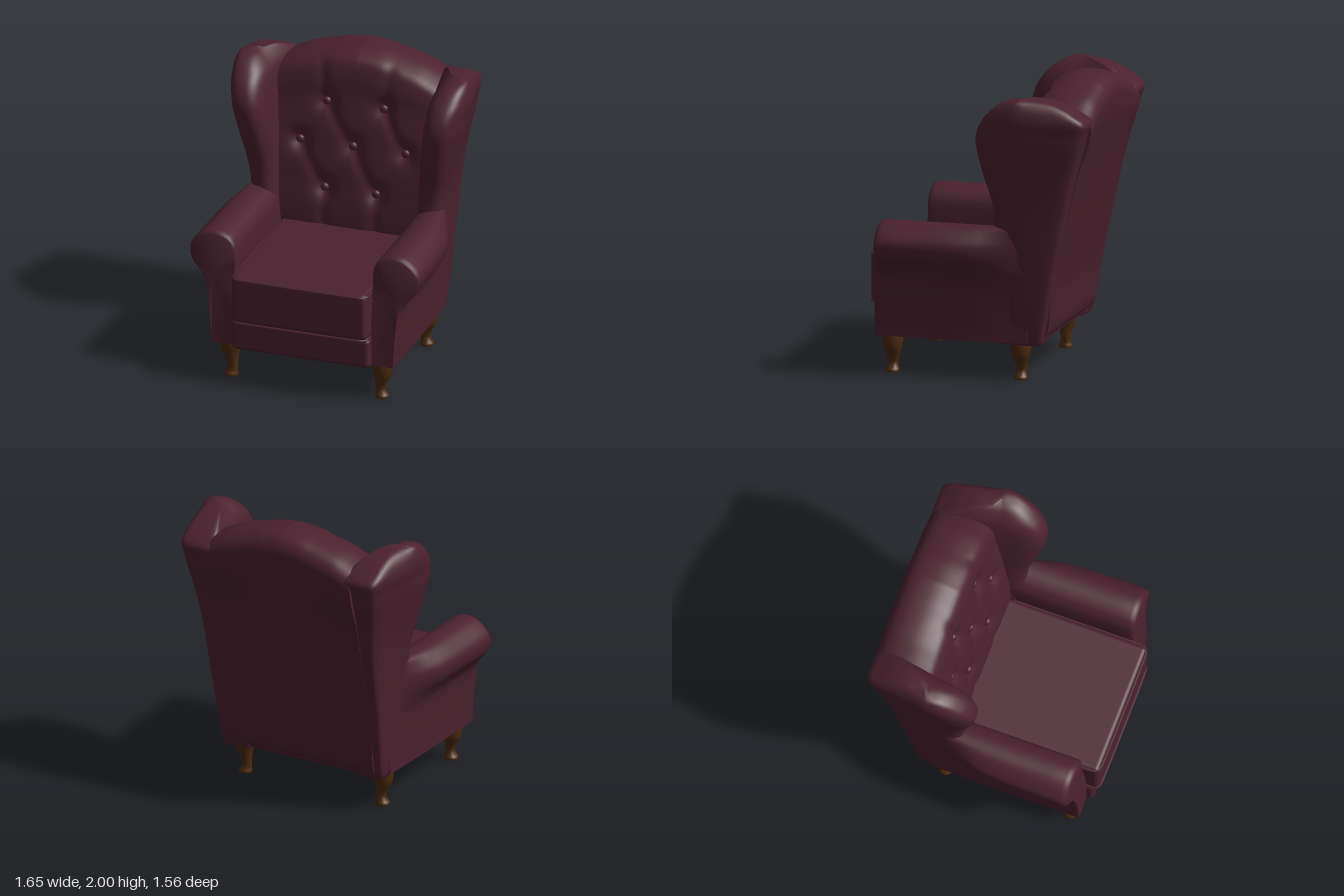
import * as THREE from 'three';
import { toCreasedNormals } from 'three/addons/utils/BufferGeometryUtils.js';
import { RoundedBoxGeometry } from 'three/addons/geometries/RoundedBoxGeometry.js';

const V = (x, y, z) => new THREE.Vector3(x, y, z);
const lerp = THREE.MathUtils.lerp;
const smooth = THREE.MathUtils.smoothstep;

// Skin closed rings of points, cap both ends, and make the faces point outwards.
function loft(rings, crease = 0.9) {
  const n = rings[0].length;
  const centre = (r) => r.reduce((s, p) => s.add(p), V(0, 0, 0)).divideScalar(n);
  const pts = [...rings.flat(), centre(rings[0]), centre(rings[rings.length - 1])];
  const first = pts.length - 2, last = pts.length - 1, base = (rings.length - 1) * n;
  const idx = [];
  for (let i = 0; i < n; i++) {
    const j = (i + 1) % n;
    for (let k = 0; k < rings.length - 1; k++) {
      const a = k * n + i, b = k * n + j;
      idx.push(a, b, a + n, b, b + n, a + n);
    }
    idx.push(first, j, i, last, base + i, base + j);
  }
  let volume = 0;
  for (let i = 0; i < idx.length; i += 3)
    volume += pts[idx[i]].dot(V(0, 0, 0).crossVectors(pts[idx[i + 1]], pts[idx[i + 2]]));
  if (volume < 0) idx.reverse();
  const g = new THREE.BufferGeometry().setFromPoints(pts);
  g.setIndex(idx);
  return toCreasedNormals(g, crease);
}

// Smoothly resample a table whose rows are equal-length lists of numbers.
function resample(rows, steps) {
  const out = [];
  const at = (i) => rows[Math.min(rows.length - 1, Math.max(0, i))];
  for (let i = 0; i < rows.length - 1; i++)
    for (let s = 0; s < steps; s++) {
      const t = s / steps;
      out.push(rows[i].map((p1, c) => {
        const p0 = at(i - 1)[c], p2 = at(i + 1)[c], p3 = at(i + 2)[c];
        return p1 + 0.5 * t * (p2 - p0 + t * (2 * p0 - 5 * p1 + 4 * p2 - p3 + t * (3 * (p1 - p2) + p3 - p0)));
      }));
    }
  out.push(rows[rows.length - 1]);
  return out;
}

// Button positions and the diagonal pleats joining them.
const buttons = [[-0.2, 1.63], [0.2, 1.63], [-0.37, 1.35], [0, 1.35], [0.37, 1.35], [-0.18, 1.05], [0.18, 1.05]];
const pleats = [[0, 2], [0, 3], [1, 3], [1, 4], [2, 5], [3, 5], [3, 6], [4, 6]].map(([a, b]) => [...buttons[a], ...buttons[b]]);
pleats.push([-0.2, 1.63, -0.24, 1.9], [0.2, 1.63, 0.24, 1.9], [-0.18, 1.05, -0.18, 0.8], [0.18, 1.05, 0.18, 0.8]);

function tuft(x, y) {
  let pit = 0, fold = 0;
  for (const [bx, by] of buttons)
    pit = Math.max(pit, Math.exp(-((x - bx) ** 2 + (y - by) ** 2) / 0.0045));
  for (const [ax, ay, bx, by] of pleats) {
    const dx = bx - ax, dy = by - ay;
    const t = THREE.MathUtils.clamp(((x - ax) * dx + (y - ay) * dy) / (dx * dx + dy * dy), 0, 1);
    const d2 = (x - ax - t * dx) ** 2 + (y - ay - t * dy) ** 2;
    fold = Math.max(fold, Math.exp(-d2 / 0.0018));
  }
  return 0.045 * pit + 0.012 * fold;
}

// Back: a side profile swept across x under a crowned top edge.
function backGeometry() {
  const side = [[0.3, -0.25], [0.8, -0.2], [1.1, -0.23], [1.4, -0.275], [1.7, -0.325], [1.85, -0.345],
    [1.94, -0.38], [1.985, -0.47], [2, -0.58], [1.975, -0.72], [1.9, -0.775], [1.78, -0.772],
    [1.4, -0.685], [1, -0.595], [0.6, -0.51], [0.28, -0.445]];
  const profile = new THREE.CatmullRomCurve3(side.map(([y, z]) => V(0, y, z)), true).getSpacedPoints(170).slice(0, -1);
  const crown = resample([[0, 2], [0.14, 1.985], [0.24, 1.96], [0.4, 1.915], [0.5, 1.87], [0.58, 1.83]], 6);
  const topY = (x) => {
    const i = Math.max(1, crown.findIndex((c) => c[0] >= x - 1e-6));
    const [a, b] = [crown[i - 1], crown[i]];
    return lerp(a[1], b[1], (x - a[0]) / (b[0] - a[0]));
  };
  const rings = [];
  for (let i = 0; i <= 84; i++) {
    const x = lerp(-0.57, 0.57, i / 84);
    const drop = 2 - topY(Math.abs(x));
    rings.push(profile.map((p) => {
      const y = p.y - drop * smooth(p.y, 1.3, 2);
      const front = smooth(p.z, -0.48, -0.38) * smooth(y, 0.7, 0.85);
      return V(x, y, p.z - front * tuft(x, y));
    }));
  }
  return loft(rings, 1.2);
}

// Wing: rounded plan sections stacked up y; rows are y, inner x, outer x, front z, rear z.
function wingGeometry(s) {
  const rows = [[0.25, 0.4, 0.6, -0.15, -0.435], [0.29, 0.4, 0.625, -0.1, -0.455], [0.7, 0.45, 0.655, -0.1, -0.53],
    [1.03, 0.48, 0.69, -0.125, -0.6], [1.2, 0.49, 0.715, -0.115, -0.635], [1.4, 0.51, 0.755, -0.06, -0.68],
    [1.6, 0.535, 0.8, -0.02, -0.735], [1.7, 0.55, 0.815, -0.03, -0.76], [1.78, 0.56, 0.828, -0.068, -0.775],
    [1.84, 0.58, 0.828, -0.12, -0.7], [1.89, 0.62, 0.818, -0.18, -0.61], [1.925, 0.665, 0.8, -0.25, -0.51],
    [1.942, 0.72, 0.76, -0.33, -0.4]];
  const pow = (v, e) => Math.sign(v) * Math.abs(v) ** e;
  return loft(resample(rows, 4).map(([y, xi, xo, zf, zb]) => {
    const ring = [];
    for (let i = 0; i < 48; i++) {
      const a = i / 48 * Math.PI * 2, c = Math.cos(a), d = Math.sin(a);
      const e = d > 0 ? 0.72 : 0.25;
      const u = pow(d, e);
      const toe = 0.075 * smooth(y, 0.5, 1.8) * Math.max(0, 0.3 - u) / 1.3;
      ring.push(V(s * ((xi + xo) / 2 + (xo - xi) / 2 * pow(c, e) - toe), y, (zf + zb) / 2 + (zf - zb) / 2 * u));
    }
    return ring;
  }), 1);
}

// Arm: a rolled outline swept along z, rounded in front and narrowing into the wing.
function armGeometry(s) {
  const outline = resample([[0.48, 0.26], [0.48, 0.6], [0.48, 0.9], [0.505, 0.985], [0.55, 1.025], [0.62, 1.046],
    [0.7, 1.033], [0.775, 0.975], [0.808, 0.91], [0.79, 0.82], [0.725, 0.74], [0.682, 0.66], [0.66, 0.5],
    [0.645, 0.35], [0.64, 0.26]], 4);
  const sections = [[-0.36, 1], [-0.25, 1], [-0.15, 1], [-0.05, 1], [0.05, 1], [0.2, 1], [0.35, 1], [0.5, 1],
    [0.61, 1], [0.635, 0.99], [0.65, 0.965], [0.657, 0.92]];
  return loft(sections.map(([z, k]) => outline.map(([x, y]) => {
    const blend = smooth(z, -0.4, 0.12);
    const limit = Math.min(x, lerp(0.63, 0.67, smooth(y, 0.4, 1)));
    const px = lerp(limit, x, blend) - 0.012 * smooth(0.6 - z, 0, 0.6) * smooth(x, 0.7, 0.8);
    const forward = 0.035 * smooth(z, 0.3, 0.65) * (1 - smooth(y, 0.5, 0.85));
    return V(s * (0.6 + (px - 0.6) * k), 0.75 + (y - 0.75) * (y < 0.4 ? 1 : k), z + forward);
  })), 0.8);
}

// Leg: curved knee, slim ankle and small foot; rows are y, outward shift, radius.
function legGeometry(s) {
  const rows = [[0, 0, 0.046], [0.015, 0, 0.047], [0.035, -0.005, 0.038], [0.065, -0.012, 0.033],
    [0.11, -0.005, 0.042], [0.16, 0.005, 0.058], [0.21, 0.002, 0.069], [0.25, 0, 0.07], [0.27, 0, 0.066]];
  return loft(resample(rows, 3).map(([y, shift, r]) => Array.from({ length: 24 }, (_, i) => {
    const a = i / 24 * Math.PI * 2;
    return V(s * shift + r * Math.cos(a), y, r * Math.sin(a));
  })));
}

// Piping cord: a tube round the edge of the seat cushion.
function pipingGeometry(hx, z0, z1, r) {
  const pts = [];
  for (const [sx, sz, a0] of [[1, 1, 0], [-1, 1, 1], [-1, -1, 2], [1, -1, 3]])
    for (let i = 0; i <= 5; i++) {
      const a = (a0 + i / 5) * Math.PI / 2;
      pts.push(V(sx * (hx - r) + r * Math.cos(a), 0, (sz > 0 ? z1 - r : z0 + r) + r * Math.sin(a)));
    }
  return new THREE.TubeGeometry(new THREE.CatmullRomCurve3(pts, true, 'centripetal'), 140, 0.01, 8, true);
}

export function createModel() {
  const chair = new THREE.Group();
  chair.name = 'wingbackArmchair';
  const fabric = new THREE.MeshStandardMaterial({ color: 0x4b222f });
  fabric.name = 'burgundyUpholstery';
  const wood = new THREE.MeshStandardMaterial({ color: 0x4a2a0e });
  wood.name = 'brownWood';
  const add = (name, geometry, material, x = 0, y = 0, z = 0) => {
    const m = new THREE.Mesh(geometry, material);
    m.name = name;
    m.position.set(x, y, z);
    chair.add(m);
    return m;
  };

  // Seat
  add('seatBase', new RoundedBoxGeometry(1.22, 0.25, 1.1, 3, 0.02), fabric, 0, 0.375, 0.115);
  add('frontRail', new RoundedBoxGeometry(0.97, 0.21, 0.45, 4, 0.03), fabric, 0, 0.35, 0.512);
  const cushion = new RoundedBoxGeometry(0.95, 0.33, 1.02, 10, 0.035);
  const p = cushion.attributes.position;
  for (let i = 0; i < p.count; i++)
    if (p.getY(i) > 0.16) p.setY(i, p.getY(i) + 0.015 * smooth(-p.getZ(i), -0.5, 0.4));
  add('seatCushion', cushion, fabric, 0, 0.62, 0.262);
  for (const y of [0.768, 0.458]) add('cushionPiping', pipingGeometry(0.472, -0.24, 0.77, 0.05), fabric, 0, y, 0);

  // Buttoned back
  add('back', backGeometry(), fabric);
  for (const [x, y] of buttons) {
    const b = add('backButton', new THREE.SphereGeometry(0.029, 18, 12), fabric, x, y, -0.255 - (y - 1.05) * 0.175);
    b.scale.z = 0.75;
  }

  // Mirrored sides
  for (const s of [1, -1]) {
    const side = s > 0 ? 'left' : 'right';
    add(side + 'Wing', wingGeometry(s), fabric);
    add(side + 'Arm', armGeometry(s), fabric);
    add(side + 'FrontLeg', legGeometry(s), wood, s * 0.53, 0, 0.6);
    add(side + 'RearLeg', legGeometry(s), wood, s * 0.53, 0, -0.285);
  }
  return chair;
}
